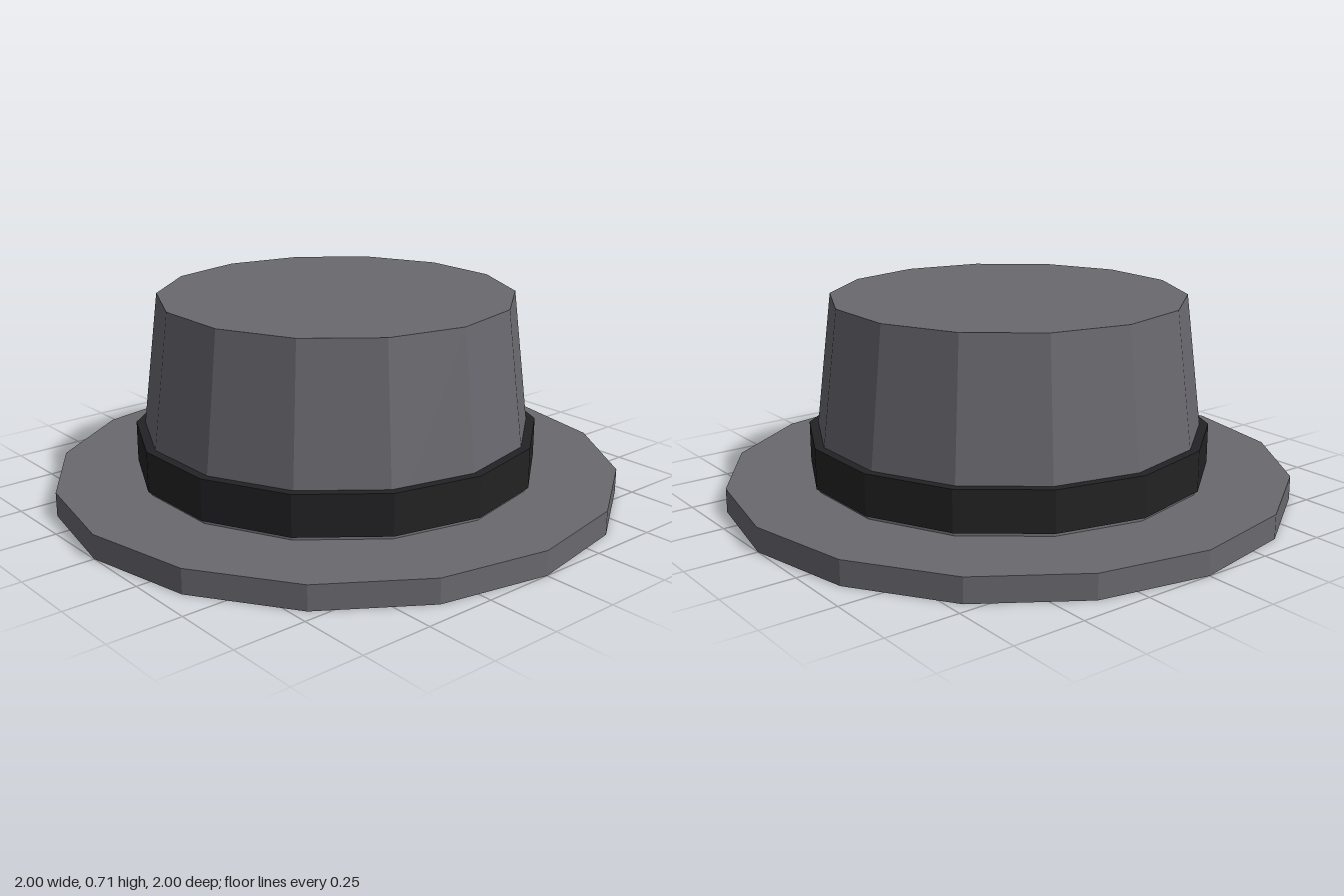
import * as THREE from 'three';

// Flat-shaded tapered ring of sides, standing from y0 to y1
function drum(name, rTop, rBottom, y0, y1, sides, color) {
  const geometry = new THREE.CylinderGeometry(rTop, rBottom, y1 - y0, sides);
  geometry.translate(0, (y0 + y1) / 2, 0);
  const mesh = new THREE.Mesh(geometry, new THREE.MeshStandardMaterial({ color, flatShading: true }));
  mesh.name = name;
  return mesh;
}

export function createModel() {
  const hat = new THREE.Group();
  hat.name = 'hat';
  const felt = 0x68686e;
  const ribbon = 0x222224;

  hat.add(
    drum('brim', 1, 1, 0, 0.085, 16, felt),
    drum('crown', 0.624, 0.702, 0.085, 0.712, 14, felt),
    drum('hatBand', 0.714, 0.714, 0.098, 0.242, 14, ribbon),
  );
  return hat;
}
